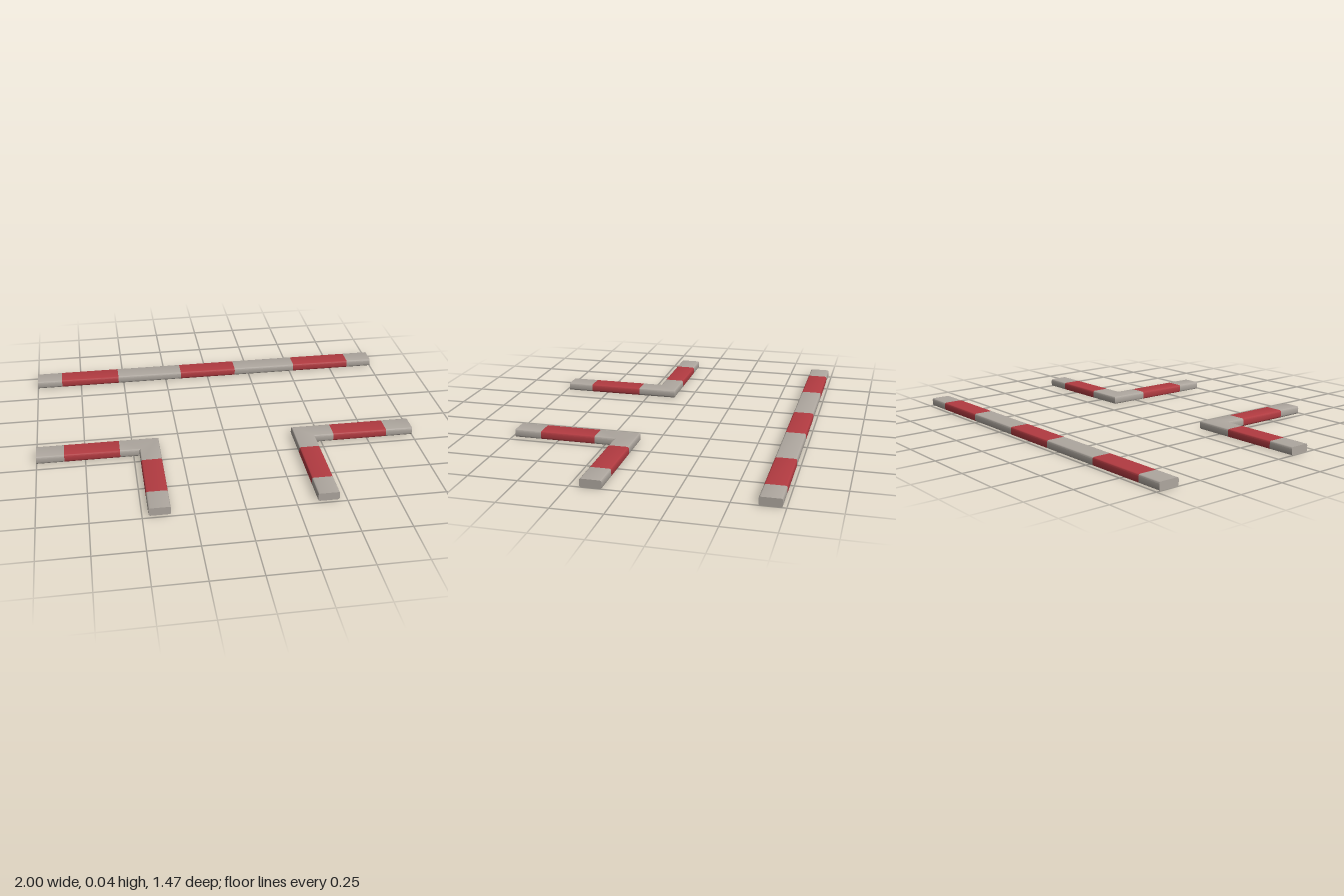
import * as THREE from 'three';
import { toCreasedNormals } from 'three/addons/utils/BufferGeometryUtils.js';

const HALF_W = 0.054, HEIGHT = 0.042, R = 0.009;

// rounded-rectangle cross-section, counter-clockwise: [across, up]
function makeProfile() {
  const pts = [];
  const centres = [[1, 1], [-1, 1], [-1, -1], [1, -1]];
  centres.forEach(([sx, sy], q) => {
    for (let i = 0; i <= 3; i++) {
      const a = (q + i / 3) * Math.PI / 2;
      pts.push([
        sx * (HALF_W - R) + R * Math.cos(a),
        HEIGHT / 2 + sy * (HEIGHT / 2 - R) + R * Math.sin(a),
      ]);
    }
  });
  return pts;
}

// sweeps the profile through stations [x, z, sideX, sideZ]
function sweep(stations, profile, capStart, capEnd) {
  const pos = [];
  const n = profile.length;
  const point = ([x, z, sx, sz], [u, v]) => [x + sx * u, v, z + sz * u];
  const tri = (a, b, c) => pos.push(...a, ...b, ...c);
  for (let k = 0; k < stations.length - 1; k++) {
    for (let i = 0; i < n; i++) {
      const p = profile[i], q = profile[(i + 1) % n];
      const a = point(stations[k], p), b = point(stations[k], q);
      const c = point(stations[k + 1], q), d = point(stations[k + 1], p);
      tri(a, b, c);
      tri(a, c, d);
    }
  }
  const cap = (s, flip) => {
    const mid = point(s, [0, HEIGHT / 2]);
    for (let i = 0; i < n; i++) {
      const a = point(s, profile[i]), b = point(s, profile[(i + 1) % n]);
      if (flip) tri(mid, b, a); else tri(mid, a, b);
    }
  };
  if (capStart) cap(stations[0], true);
  if (capEnd) cap(stations[stations.length - 1], false);
  const g = new THREE.BufferGeometry();
  g.setAttribute('position', new THREE.Float32BufferAttribute(pos, 3));
  return toCreasedNormals(g, 0.7);
}

export function createModel() {
  const model = new THREE.Group();
  model.name = 'kerbSet';
  const stone = new THREE.MeshStandardMaterial({ color: 0xaea79f });
  stone.name = 'grey stone';
  const red = new THREE.MeshStandardMaterial({ color: 0xb23b41 });
  red.name = 'red paint';
  const profile = makeProfile();

  // alternating stone and red segments, beginning and ending with stone
  function kerb(name, segments) {
    const group = new THREE.Group();
    group.name = name;
    segments.forEach((stations, i) => {
      const geometry = sweep(stations, profile, i === 0, i === segments.length - 1);
      const mesh = new THREE.Mesh(geometry, i % 2 ? red : stone);
      mesh.name = (i % 2 ? 'redStripe' : 'stoneSection') + (i + 1);
      group.add(mesh);
    });
    model.add(group);
  }

  // straight back kerb
  const backZ = -0.679;
  const xs = [-1, -0.86, -0.53, -0.16, 0.165, 0.523, 0.855, 1];
  kerb('backKerb', xs.slice(1).map((x, i) => [[xs[i], backZ, 0, -1], [x, backZ, 0, -1]]));

  // mitred corner kerbs: one arm sideways, one arm forward
  const armZ = 0.145, endZ = 0.733;
  const alongX = (x) => [x, armZ, 0, -1];

  const rx = -0.415;
  const rightZ = (z) => [rx, z, 1, 0];
  kerb('rightCornerKerb', [
    [alongX(-1), alongX(-0.857)],
    [alongX(-0.857), alongX(-0.57)],
    [alongX(-0.57), [rx, armZ, 1, -1], rightZ(0.303)],
    [rightZ(0.303), rightZ(0.592)],
    [rightZ(0.592), rightZ(endZ)],
  ]);

  const lx = 0.41;
  const leftZ = (z) => [lx, z, -1, 0];
  kerb('leftCornerKerb', [
    [leftZ(endZ), leftZ(0.592)],
    [leftZ(0.592), leftZ(0.303)],
    [leftZ(0.303), [lx, armZ, -1, -1], alongX(0.565)],
    [alongX(0.565), alongX(0.855)],
    [alongX(0.855), alongX(1)],
  ]);

  return model;
}
